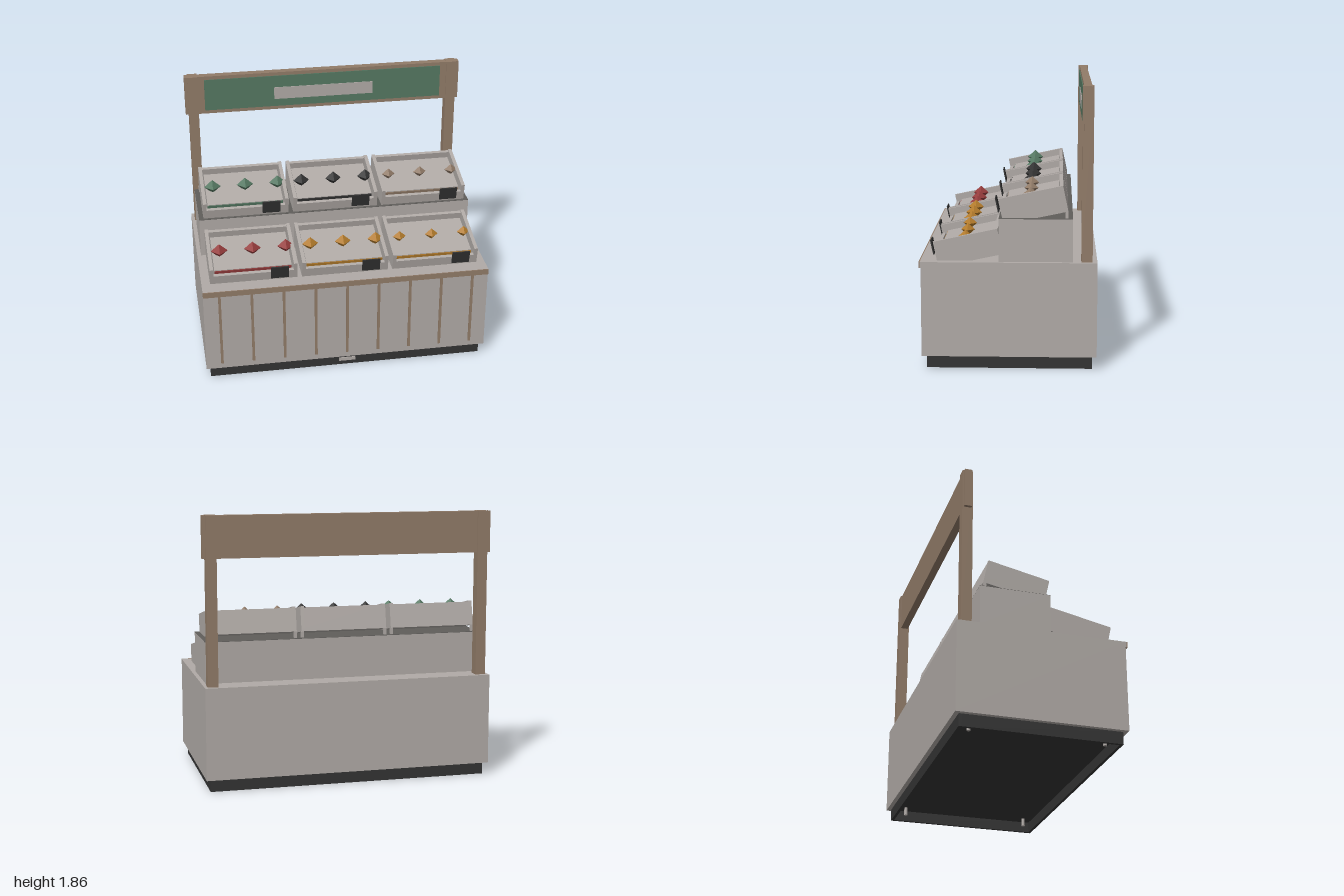
import * as THREE from 'three';

const mat = (name, color) => Object.assign(new THREE.MeshStandardMaterial({ color }), { name });

export function createModel() {
  const grey = mat('warm grey', 0xb0aaa6);
  const shade = mat('dark grey', 0x5f5d5a);
  const dark = mat('charcoal', 0x333333);
  const wood = mat('brown wood', 0x917b68);
  const green = mat('green', 0x557862);
  const red = mat('red', 0x963c3c);
  const orange = mat('orange', 0xb47c2c);

  const model = new THREE.Group();
  model.name = 'marketStall';

  // box given by its min and max on each axis
  function box(parent, name, material, [x0, x1], [y0, y1], [z0, z1]) {
    const mesh = new THREE.Mesh(new THREE.BoxGeometry(x1 - x0, y1 - y0, z1 - z0), material);
    mesh.position.set((x0 + x1) / 2, (y0 + y1) / 2, (z0 + z1) / 2);
    mesh.name = name;
    parent.add(mesh);
    return mesh;
  }

  // hollow plinth: four boards under a dark base panel
  box(model, 'plinthFront', dark, [-0.97, 0.97], [0.002, 0.087], [0.517, 0.537]);
  box(model, 'plinthBack', dark, [-0.97, 0.97], [0.002, 0.087], [-0.55, -0.53]);
  box(model, 'plinthLeft', dark, [0.95, 0.97], [0.002, 0.087], [-0.53, 0.517]);
  box(model, 'plinthRight', dark, [-0.97, -0.95], [0.002, 0.087], [-0.53, 0.517]);
  box(model, 'basePanel', dark, [-0.95, 0.95], [0.078, 0.087], [-0.53, 0.517]);

  // levelling feet inside the plinth
  for (const x of [-0.87, 0.87]) for (const z of [-0.46, 0.45]) {
    const foot = new THREE.Mesh(new THREE.CylinderGeometry(0.013, 0.013, 0.058, 12), grey);
    foot.position.set(x, 0.049, z);
    foot.name = 'foot';
    model.add(foot);
  }

  // base cabinet
  box(model, 'cabinet', grey, [-1, 1], [0.087, 0.718], [-0.58, 0.568]);
  box(model, 'counterLip', grey, [-1, 1], [0.68, 0.718], [0.568, 0.575]);
  box(model, 'counterTrim', wood, [-1, 1], [0.678, 0.718], [0.575, 0.582]);
  box(model, 'kickPlate', grey, [-0.058, 0.058], [0.056, 0.081], [0.568, 0.575]);
  for (let i = -4; i <= 4; i++) {
    const x = i * 0.222;
    box(model, 'frontBatten', wood, [x - 0.009, x + 0.009], [0.13, 0.68], [0.568, 0.578]);
  }

  // raised rear tier
  box(model, 'upperTier', grey, [-0.972, 0.972], [0.718, 1], [-0.42, 0.062]);
  box(model, 'upperTierTop', shade, [-0.972, 0.972], [1, 1.002], [-0.42, 0.062]);

  // sign frame
  for (const s of [-1, 1]) {
    const xs = [s * 0.907, s * 0.978].sort((a, b) => a - b);
    box(model, 'post', wood, xs, [0.718, 1.86], [-0.548, -0.475]);
  }
  box(model, 'header', wood, [-1, 1], [1.574, 1.858], [-0.538, -0.485]);
  box(model, 'signPanel', green, [-0.86, 0.86], [1.6, 1.833], [-0.485, -0.479]);
  box(model, 'signPlate', grey, [-0.36, 0.36], [1.656, 1.746], [-0.479, -0.475]);

  // tilted crate; its origin is the lower front edge
  const W = 0.3025, H = 0.172, D = 0.43, T = 0.025;
  const bedX = [T + 0.01 - W, W - T - 0.01];
  function crate(x, y, z, produce) {
    const c = new THREE.Group();
    c.name = 'crate';
    box(c, 'crateFloor', grey, [-W, W], [0, 0.02], [-D, 0]);
    box(c, 'leftWall', grey, [W - T, W], [0.02, H], [-D, 0]);
    box(c, 'rightWall', grey, [-W, T - W], [0.02, H], [-D, 0]);
    box(c, 'backWall', grey, [T - W, W - T], [0.02, H - 0.008], [-D, T - D]);
    box(c, 'frontWall', grey, [T - W, W - T], [0.02, 0.115], [-T, 0]);
    box(c, 'bed', grey, bedX, [0.02, 0.127], [T + 0.012 - D, -0.045]);
    box(c, 'produceStrip', produce, bedX, [0.02, 0.122], [-0.045, -0.04]);
    box(c, 'priceTag', dark, [0.115, 0.24], [0.076, 0.172], [0.016, 0.024]);
    c.position.set(x, y, z);
    c.rotation.x = THREE.MathUtils.degToRad(12);
    model.add(c);
  }

  // two rows of three crates: produce colour per column, and fruit size
  const rows = [
    { y: 0.957, z: 0.031, colours: [green, dark, wood] },
    { y: 0.672, z: 0.457, colours: [red, orange, orange] },
  ];
  const sizes = [[0.059, 0.052], [0.057, 0.051], [0.047, 0.042]];
  for (const { y, z, colours } of rows) {
    colours.forEach((colour, i) => {
      const x = (i - 1) * 0.638;
      crate(x, y, z, colour);
      for (const s of [-1, 1]) {
        const lx = x + s * 0.295;
        box(model, 'crateLeg', grey, [lx - 0.01, lx + 0.01], [y + 0.042, y + 0.09], [z - 0.42, z - 0.4]);
      }
      const [r, h] = sizes[i];
      for (const dx of [-0.218, 0.014, 0.247]) {
        const fruit = new THREE.Mesh(new THREE.OctahedronGeometry(1), colour);
        fruit.scale.set(r, h, r);
        fruit.position.set(x + dx, y + 0.198, z - 0.175);
        fruit.name = 'fruit';
        model.add(fruit);
      }
    });
  }
  return model;
}
